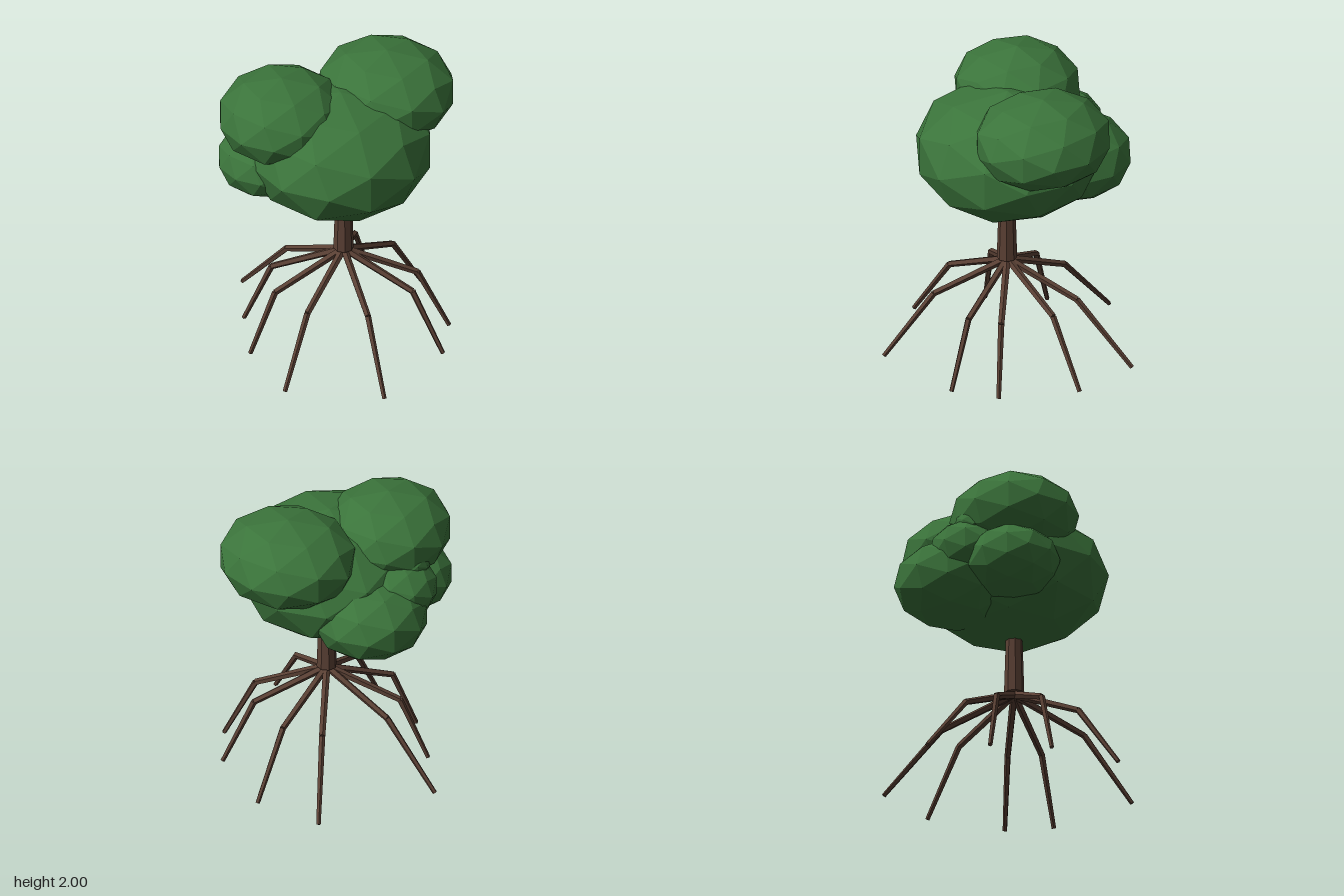
import * as THREE from 'three';

export function createModel() {
  const tree = new THREE.Group();
  tree.name = 'tree';

  const material = (name, color) => {
    const m = new THREE.MeshStandardMaterial({ color, flatShading: true });
    m.name = name;
    return m;
  };
  const leafGreen = material('leafGreen', 0x3b743b);
  const barkBrown = material('barkBrown', 0x5a4034);

  const add = (name, geometry, mat, parent = tree) => {
    const mesh = new THREE.Mesh(geometry, mat);
    mesh.name = name;
    parent.add(mesh);
  };

  // Tapered limb between two points
  const limb = (a, b, ra, rb, sides) => {
    const dir = b.clone().sub(a);
    const g = new THREE.CylinderGeometry(rb, ra, dir.length(), sides);
    g.applyQuaternion(new THREE.Quaternion().setFromUnitVectors(
      new THREE.Vector3(0, 1, 0), dir.normalize()));
    const mid = a.clone().add(b).multiplyScalar(0.5);
    return g.translate(mid.x, mid.y, mid.z);
  };

  // Trunk
  const tx = -0.03, tz = 0.09;
  const base = new THREE.Vector3(tx, 0.665, tz);
  add('trunk', limb(base, new THREE.Vector3(tx, 1.4, tz), 0.065, 0.043, 8), barkBrown);

  // Stilt roots: out to a knee on a common ring, then down to each foot (x, z)
  const feet = [
    [-0.785, 0.2], [-0.465, 0.75], [0.16, 0.74], [0.43, 0.58], [0.71, 0.14],
    [0.705, -0.315], [0.01, -0.75], [-0.3, -0.5], [-0.585, -0.23],
  ];
  const roots = new THREE.Group();
  roots.name = 'roots';
  tree.add(roots);
  const start = new THREE.Vector3(tx, 0.655, tz);
  for (const [x, z] of feet) {
    const foot = new THREE.Vector3(x, 0.012, z);
    const out = new THREE.Vector3(x - tx, 0, z - tz).setLength(0.47);
    const knee = new THREE.Vector3(tx + out.x, 0.44, tz + out.z);
    add('upperRoot', limb(start, knee, 0.025, 0.021, 5), barkBrown, roots);
    add('lowerRoot', limb(knee, foot, 0.021, 0.015, 5), barkBrown, roots);
  }

  // Foliage clumps: centre, radii
  const clumps = [
    ['mainClump', [-0.04, 1.445, 0.075], [0.615, 0.425, 0.59]],
    ['leftTopClump', [0.36, 1.71, 0.135], [0.43, 0.29, 0.455]],
    ['rightTopClump', [-0.275, 1.7, -0.22], [0.42, 0.285, 0.405]],
    ['backLeftClump', [0.125, 1.32, -0.33], [0.385, 0.275, 0.385]],
    ['backRightClump', [-0.33, 1.355, -0.31], [0.305, 0.23, 0.31]],
    ['backMiddleClump', [-0.07, 1.45, -0.41], [0.26, 0.21, 0.27]],
    ['smallBackClump', [-0.15, 1.6, -0.46], [0.14, 0.12, 0.13]],
  ];
  const foliage = new THREE.Group();
  foliage.name = 'foliage';
  tree.add(foliage);
  for (const [name, centre, radii] of clumps) {
    const g = new THREE.IcosahedronGeometry(1, 1);
    g.scale(...radii).translate(...centre);
    add(name, g, leafGreen, foliage);
  }

  return tree;
}
